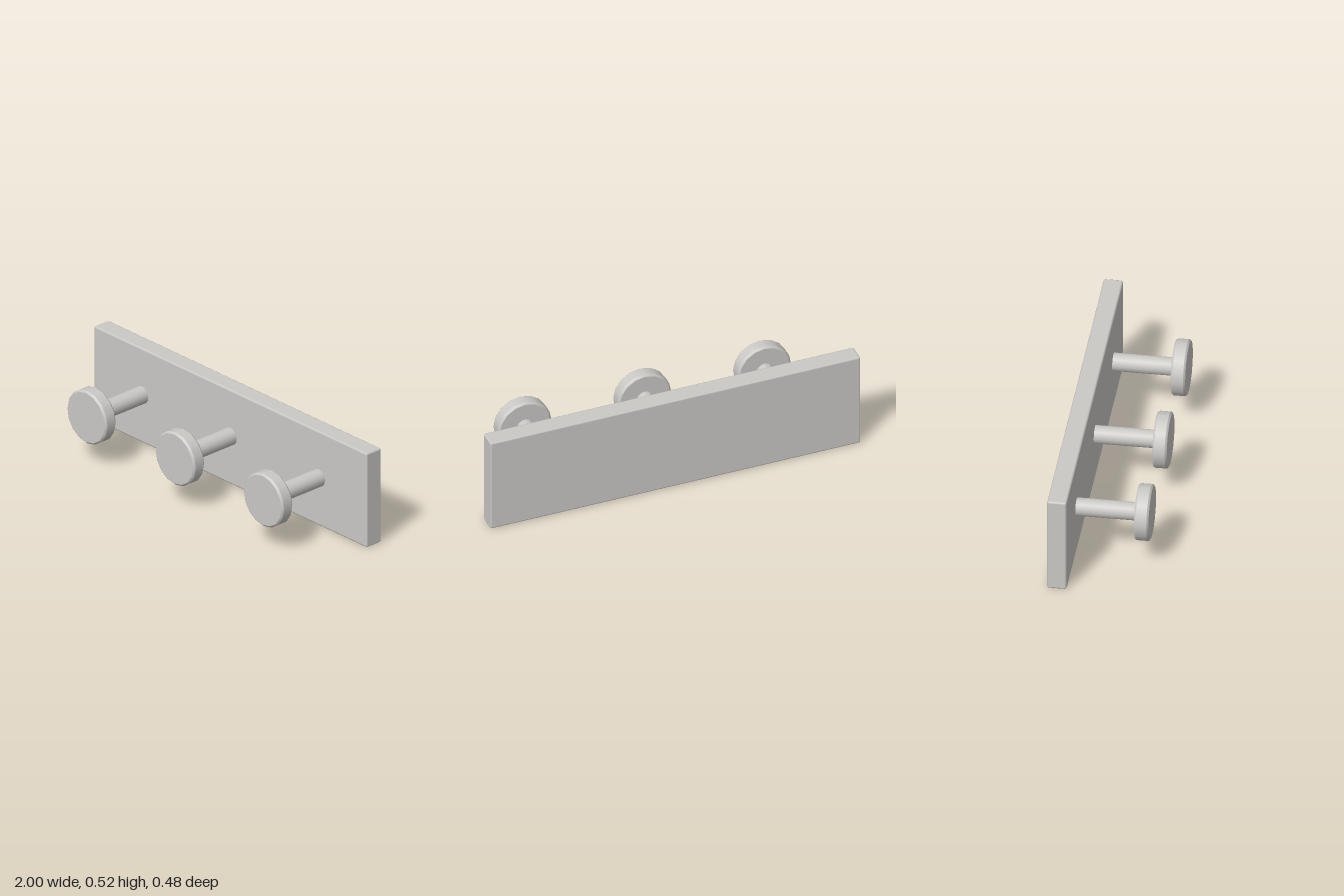
import * as THREE from 'three';
import { RoundedBoxGeometry } from 'three/addons/geometries/RoundedBoxGeometry.js';

const SIDES = 16;
const HEIGHT = 0.523;
const BOARD_FRONT = -0.14;
const CAP_BACK = 0.168;

export function createModel() {
  const model = new THREE.Group();
  model.name = 'pegRack';
  const paint = new THREE.MeshStandardMaterial({ name: 'warm light grey', color: 0xcbc9c6 });

  // Backboard with softened edges
  const board = new THREE.Mesh(new RoundedBoxGeometry(2, HEIGHT, 0.1, 1, 0.01), paint);
  board.name = 'backboard';
  board.position.set(0, HEIGHT / 2, BOARD_FRONT - 0.05);
  model.add(board);

  // Round stem, sunk slightly into board and cap
  const stemLength = CAP_BACK - BOARD_FRONT + 0.02;
  const stemGeometry = new THREE.CylinderGeometry(0.047, 0.047, stemLength, SIDES);
  stemGeometry.rotateX(Math.PI / 2);

  // Disc cap with bevelled rims; the close extra points keep the faces flat
  const profile = [
    [0, 0], [0.135, 0], [0.137, 0], [0.1455, 0.009], [0.1455, 0.011],
    [0.1455, 0.063], [0.1455, 0.065], [0.137, 0.074], [0.135, 0.074], [0, 0.074],
  ].map(([r, y]) => new THREE.Vector2(r, y));
  const capGeometry = new THREE.LatheGeometry(profile, SIDES);
  capGeometry.rotateX(Math.PI / 2);

  // Three evenly spaced pegs
  ['rightPeg', 'middlePeg', 'leftPeg'].forEach((name, i) => {
    const peg = new THREE.Group();
    peg.name = name;
    peg.position.set((i - 1) * 0.647, 0.266, 0);
    const stem = new THREE.Mesh(stemGeometry, paint);
    stem.name = 'stem';
    stem.position.z = (BOARD_FRONT + CAP_BACK) / 2;
    const cap = new THREE.Mesh(capGeometry, paint);
    cap.name = 'cap';
    cap.position.z = CAP_BACK;
    peg.add(stem, cap);
    model.add(peg);
  });

  return model;
}
